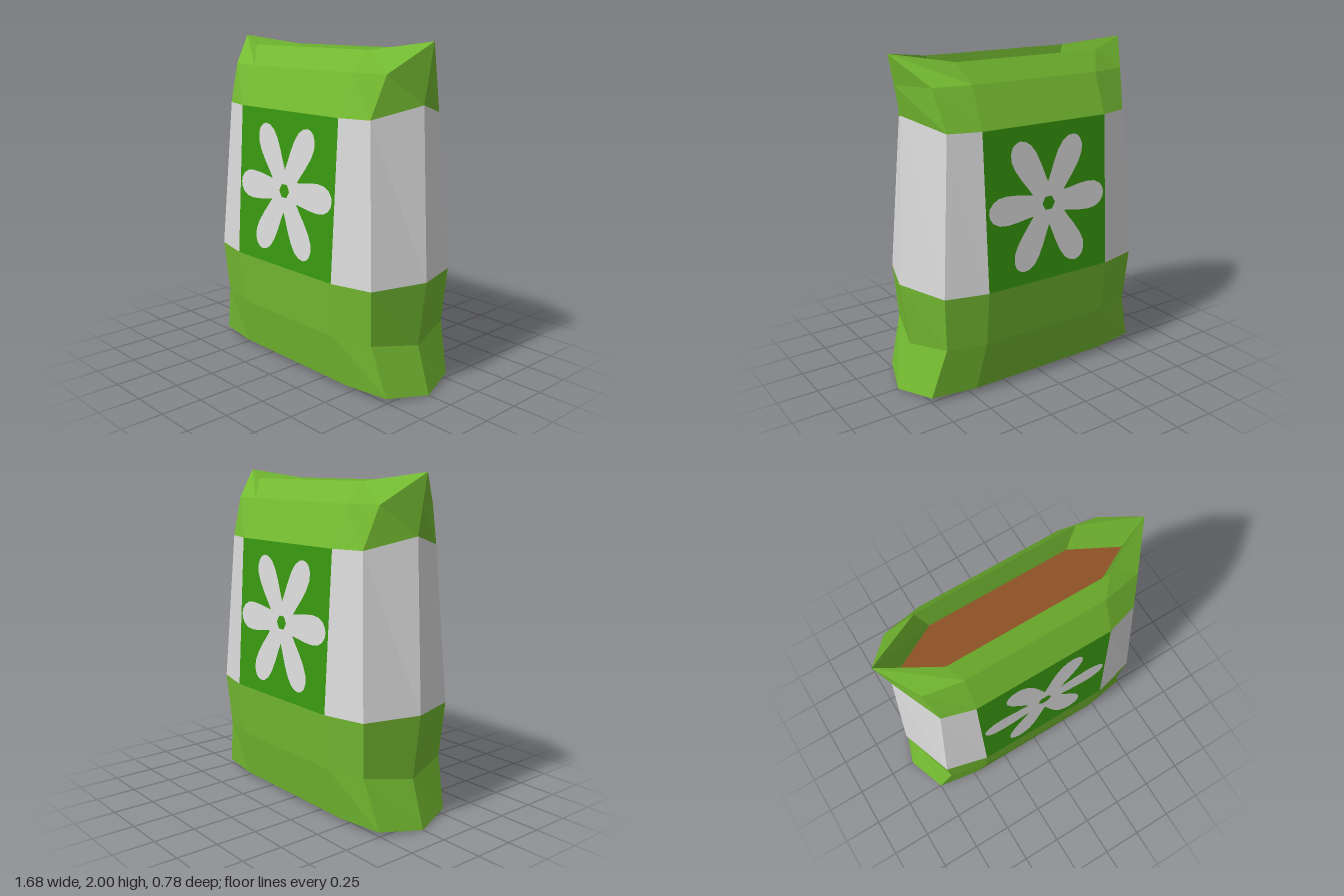
import * as THREE from 'three';

const mat = (name, color) => {
  const m = new THREE.MeshStandardMaterial({ color });
  m.name = name;
  return m;
};

// Ten-sided ring: side tips, corners and front/back inner points
function ring([tx, ty], [cx, cy, cz], [ix, iy, iz]) {
  return [
    [tx, ty, 0], [cx, cy, cz], [ix, iy, iz], [-ix, iy, iz], [-cx, cy, cz],
    [-tx, ty, 0], [-cx, cy, -cz], [-ix, iy, -iz], [ix, iy, -iz], [cx, cy, -cz],
  ];
}

function facetMesh(name, triangles, material) {
  const geo = new THREE.BufferGeometry();
  geo.setAttribute('position', new THREE.Float32BufferAttribute(triangles.flat(2), 3));
  geo.computeVertexNormals();
  const mesh = new THREE.Mesh(geo, material);
  mesh.name = name;
  return mesh;
}

// Faces between two rings, for the chosen sides
function band(lower, upper, sides) {
  const out = [];
  for (const i of sides) {
    const j = (i + 1) % 10;
    out.push([lower[i], upper[i], upper[j]], [lower[i], upper[j], lower[j]]);
  }
  return out;
}

// Fan closing a ring, facing up or down
function cap(r, y, up) {
  return r.map((p, i) => {
    const q = r[(i + 1) % 10];
    return up ? [[0, y, 0], q, p] : [[0, y, 0], p, q];
  });
}

// Six-petalled flower outline with a hexagonal hole
function flowerShape() {
  const half = [[0.11, 0.063], [0.16, 0.07], [0.22, 0.08], [0.29, 0.086], [0.345, 0.08], [0.385, 0.058], [0.407, 0.028]];
  const petal = [
    ...half.map(([x, y]) => [x, -y]),
    [0.412, 0],
    ...half.slice(1).reverse(),
  ];
  const pts = [];
  for (let k = 0; k < 6; k++) {
    const a = (k * Math.PI) / 3;
    const stretch = k % 3 === 0 ? 1 : 1.07;
    for (const [x, y] of petal) {
      const r = 0.11 + (x - 0.11) * stretch;
      pts.push(new THREE.Vector2(r * Math.cos(a) - y * Math.sin(a), r * Math.sin(a) + y * Math.cos(a)));
    }
  }
  const shape = new THREE.Shape(pts);
  const hole = [];
  for (let k = 0; k < 6; k++) {
    const a = (-k * Math.PI) / 3;
    hole.push(new THREE.Vector2(0.045 * Math.cos(a), 0.045 * Math.sin(a)));
  }
  shape.holes.push(new THREE.Path(hole));
  return shape;
}

export function createModel() {
  const green = mat('bag green', 0x74bb31);
  const white = mat('label white', 0xdcdcdc);
  const darkGreen = mat('panel green', 0x38980f);
  const brown = mat('soil brown', 0x8d5224);

  const bag = new THREE.Group();
  bag.name = 'bag';

  const rings = [
    ring([0.84, 0], [0.75, 0.03, 0.26], [0.47, 0.03, 0.305]),
    ring([0.75, 0.28], [0.665, 0.33, 0.3], [0.43, 0.33, 0.36]),
    ring([0.8, 0.67], [0.685, 0.66, 0.325], [0.43, 0.66, 0.39]),
    ring([0.75, 1.66], [0.62, 1.59, 0.28], [0.43, 1.59, 0.335]),
    ring([0.78, 1.83], [0.66, 1.83, 0.2], [0.43, 1.83, 0.24]),
    ring([0.81, 2], [0.81, 2, 0], [0.49, 1.95, 0.165]),
  ];
  const contents = ring([0.7, 1.77], [0.7, 1.77, 0], [0.43, 1.77, 0.143]);
  const all = [...Array(10).keys()];
  const panels = [2, 7];

  // Green bottom, closed by a shallow ridge underneath
  bag.add(facetMesh('lowerBag', [
    ...cap(rings[0], 0, false),
    ...band(rings[0], rings[1], all),
    ...band(rings[1], rings[2], all),
  ], green));

  // White sides around the middle, dark panels front and back
  bag.add(facetMesh('labelSides', band(rings[2], rings[3], all.filter((i) => !panels.includes(i))), white));
  bag.add(facetMesh('labelPanels', band(rings[2], rings[3], panels), darkGreen));

  // Green top, folding inwards at the open mouth
  bag.add(facetMesh('upperBag', [
    ...band(rings[3], rings[4], all),
    ...band(rings[4], rings[5], all),
    ...band(rings[5], contents, all),
  ], green));
  bag.add(facetMesh('contents', cap(contents, 1.77, true), brown));

  // Flowers lying on the sloping panels
  const flowerGeo = new THREE.ShapeGeometry(flowerShape());
  for (const [name, turn] of [['frontFlower', 0], ['backFlower', Math.PI]]) {
    const holder = new THREE.Group();
    holder.name = name;
    const flower = new THREE.Mesh(flowerGeo, white);
    flower.name = name + 'Petals';
    flower.position.set(0, 1.122, 0.3667);
    flower.rotation.x = -Math.atan2(0.055, 0.93);
    holder.rotation.y = turn;
    holder.add(flower);
    bag.add(holder);
  }
  return bag;
}
